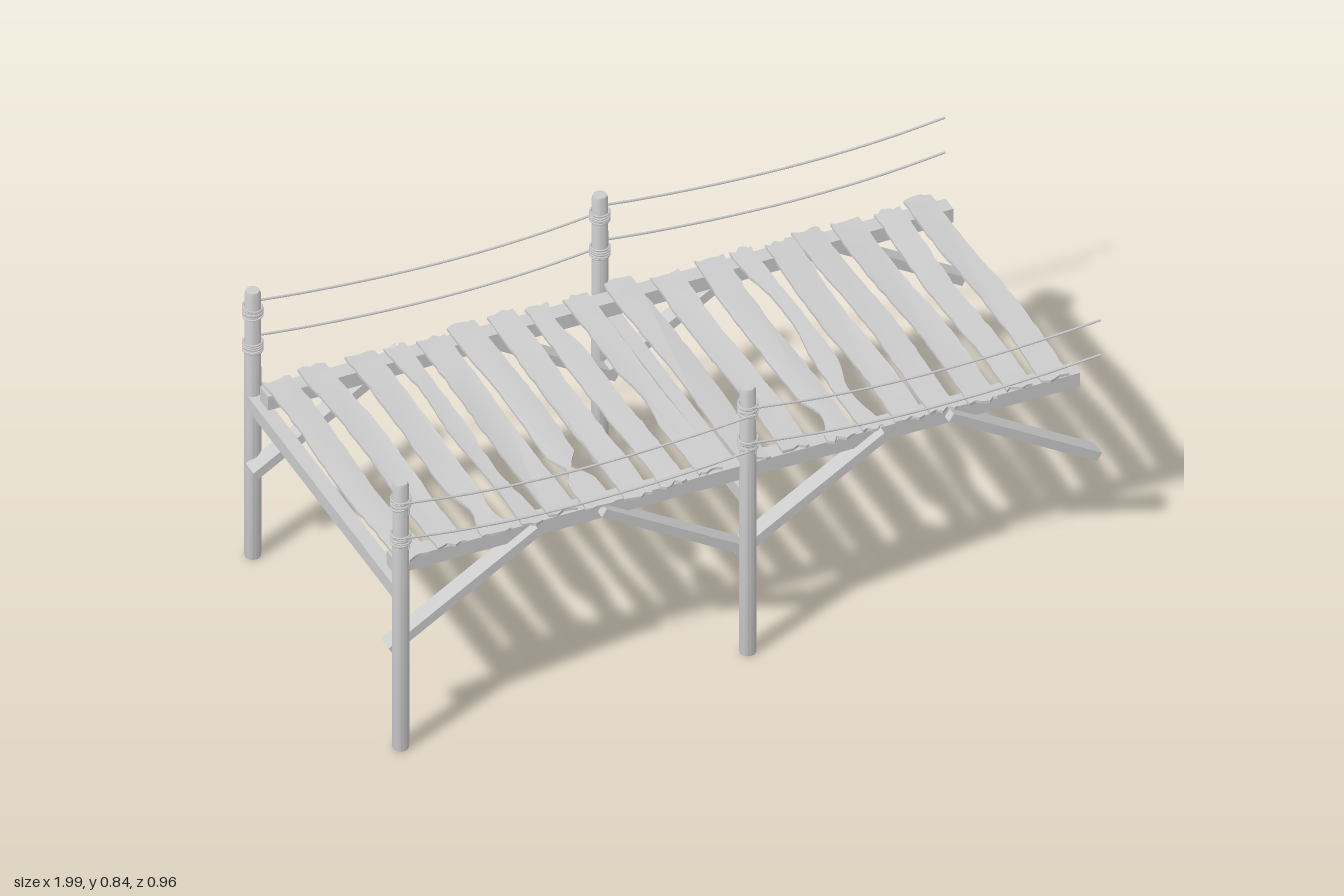
import * as THREE from 'three';
import { toCreasedNormals } from 'three/addons/utils/BufferGeometryUtils.js';

const material = new THREE.MeshStandardMaterial({ color: 0xcccccc });
const POSTS = [-0.974, -0.004];
const ROPE_Y = [0.785, 0.675];

// seeded noise in -1..1
let seed = 7;
const rnd = () => {
  seed = (seed * 16807) % 2147483647;
  return (seed / 2147483647) * 2 - 1;
};

function add(parent, name, geometry, x = 0, y = 0, z = 0) {
  const mesh = new THREE.Mesh(geometry, material);
  mesh.name = name;
  mesh.position.set(x, y, z);
  parent.add(mesh);
  return mesh;
}

// round post with a slightly worn top edge
function postGeometry() {
  const profile = [[0, 0], [0.021, 0], [0.022, 0.005], [0.0222, 0.4], [0.021, 0.828], [0.018, 0.838], [0, 0.838]];
  const lathe = new THREE.LatheGeometry(profile.map(([r, y]) => new THREE.Vector2(r, y)), 16);
  return toCreasedNormals(lathe, 0.7);
}

// weathered plank: ragged ends, wavy edges; bites = [side, z, half length, depth]
function plankGeometry(width, bites = []) {
  const steps = 28, zBack = -0.42 + rnd() * 0.012, zFront = 0.415 + rnd() * 0.012;
  const phase = rnd() * 3, sway = 0.004 + 0.002 * rnd();
  const edge = (side, z) => {
    let w = width / 2 + 0.002 * rnd();
    for (const [s, at, half, depth] of bites) {
      const t = Math.abs(z - at) / half;
      if (s === side && t < 1) w -= depth * (0.5 + 0.5 * Math.cos(Math.PI * t));
    }
    return side * w + sway * Math.sin(z * 9 + phase);
  };
  const points = [];
  for (const side of [1, -1]) {
    for (let i = 0; i <= steps; i++) {
      const t = side > 0 ? i / steps : 1 - i / steps;
      const z = zBack + (zFront - zBack) * t;
      points.push(new THREE.Vector2(edge(side, z), z));
    }
    // splintered end
    const end = side > 0 ? zFront : zBack;
    for (const k of [0.3, 0.1, -0.15, -0.32]) {
      points.push(new THREE.Vector2(side * k * width, end + rnd() * 0.01));
    }
  }
  const geometry = new THREE.ExtrudeGeometry(new THREE.Shape(points), { depth: 0.008, bevelEnabled: false });
  geometry.rotateX(Math.PI / 2);
  // gentle warp along the length and roll across the width
  const p = geometry.attributes.position;
  const bow = 0.003 * rnd(), roll = 0.05 * rnd(), twist = 0.12 * rnd();
  for (let i = 0; i < p.count; i++) {
    const x = p.getX(i), z = p.getZ(i);
    p.setY(i, p.getY(i) + bow * Math.cos(z * 5) + x * (roll + twist * z));
  }
  return toCreasedNormals(geometry, 0.6);
}

// lashing: several loose, tilted turns round a post
function lashing(parent, x, y, z) {
  const group = new THREE.Group();
  group.name = 'ropeLashing';
  group.position.set(x, y, z);
  for (let i = 0; i < 5; i++) {
    const ring = add(group, 'ropeTurn', new THREE.TorusGeometry(0.0248, 0.0028, 6, 20), 0, (i - 2) * 0.0065 - 0.008, 0);
    ring.rotation.set(Math.PI / 2 + 0.16 * rnd(), 0.14 * rnd(), 0);
  }
  // loose tail
  const side = Math.sign(z);
  const tail = new THREE.CatmullRomCurve3([
    new THREE.Vector3(0.008, 0, side * 0.022),
    new THREE.Vector3(0.012, -0.016, side * 0.027),
    new THREE.Vector3(0.01, -0.034, side * 0.025),
  ]);
  add(group, 'ropeTail', new THREE.TubeGeometry(tail, 8, 0.0022, 5));
  parent.add(group);
}

// sagging rope running from one post towards the next
function rope(parent, x0, y0, side) {
  const pts = [];
  for (let i = 0; i <= 8; i++) {
    const t = i / 8;
    const y = y0 - 0.022 * t - 0.125 * t * (1 - t) - 0.002 * (side > 0 ? t : 0);
    pts.push(new THREE.Vector3(x0 + 0.975 * t, y, side * (0.473 + 0.002 * Math.sin(t * 6))));
  }
  add(parent, 'handRope', new THREE.TubeGeometry(new THREE.CatmullRomCurve3(pts), 32, 0.0032, 6));
}

export function createModel() {
  const model = new THREE.Group();
  model.name = 'footbridge';
  const post = postGeometry();

  for (const side of [1, -1]) {
    // posts with lashings and hand ropes
    for (const x of POSTS) {
      add(model, 'post', post, x, 0, side * 0.449);
      for (const y of ROPE_Y) {
        lashing(model, x, y - 0.003, side * 0.449);
        rope(model, x, y, side);
      }
    }

    // long deck beam
    add(model, 'deckBeam', new THREE.BoxGeometry(1.915, 0.043, 0.048), -0.0145, 0.5375, side * 0.384);

    // diagonal braces: [bottom x, top x]
    for (const [bottom, top] of [[-0.994, -0.578], [0.016, -0.398], [-0.024, 0.392], [0.986, 0.572]]) {
      const dx = top - bottom, dy = 0.252;
      const brace = add(model, 'brace', new THREE.BoxGeometry(Math.hypot(dx, dy), 0.026, 0.048),
        (bottom + top) / 2, 0.297 + dy / 2, side * 0.41);
      brace.rotation.z = Math.atan(dy / dx);
    }
  }

  // cross beams between the posts
  for (const x of POSTS) {
    add(model, 'crossBeam', new THREE.BoxGeometry(0.04, 0.042, 0.88), x, 0.495, 0);
  }

  // deck planks: [centre x, width, bites]
  const planks = [
    [-0.928, 0.078],
    [-0.815, 0.078],
    [-0.69, 0.08, [[-1, 0.3, 0.1, 0.022], [1, 0.31, 0.1, 0.014]]],
    [-0.592, 0.058, [[1, 0.17, 0.27, 0.02], [-1, -0.2, 0.2, 0.014]]],
    [-0.5, 0.08],
    [-0.4, 0.078, [[-1, 0.25, 0.07, 0.03], [1, 0.24, 0.06, 0.036]]],
    [-0.297, 0.074],
    [-0.195, 0.07, [[1, -0.33, 0.13, 0.02]]],
    [-0.09, 0.068, [[-1, 0.05, 0.15, 0.014]]],
    [0.04, 0.08],
    [0.155, 0.078],
    [0.28, 0.08, [[-1, 0.31, 0.1, 0.03]]],
    [0.373, 0.058, [[-1, -0.15, 0.25, 0.02], [1, 0.25, 0.16, 0.022]]],
    [0.47, 0.08],
    [0.564, 0.074],
    [0.67, 0.08],
    [0.775, 0.07],
    [0.878, 0.076],
  ];
  for (const [x, width, bites] of planks) {
    const plank = add(model, 'deckPlank', plankGeometry(width, bites), x, 0.568, 0);
    plank.rotation.y = 0.012 * rnd();
  }

  return model;
}
